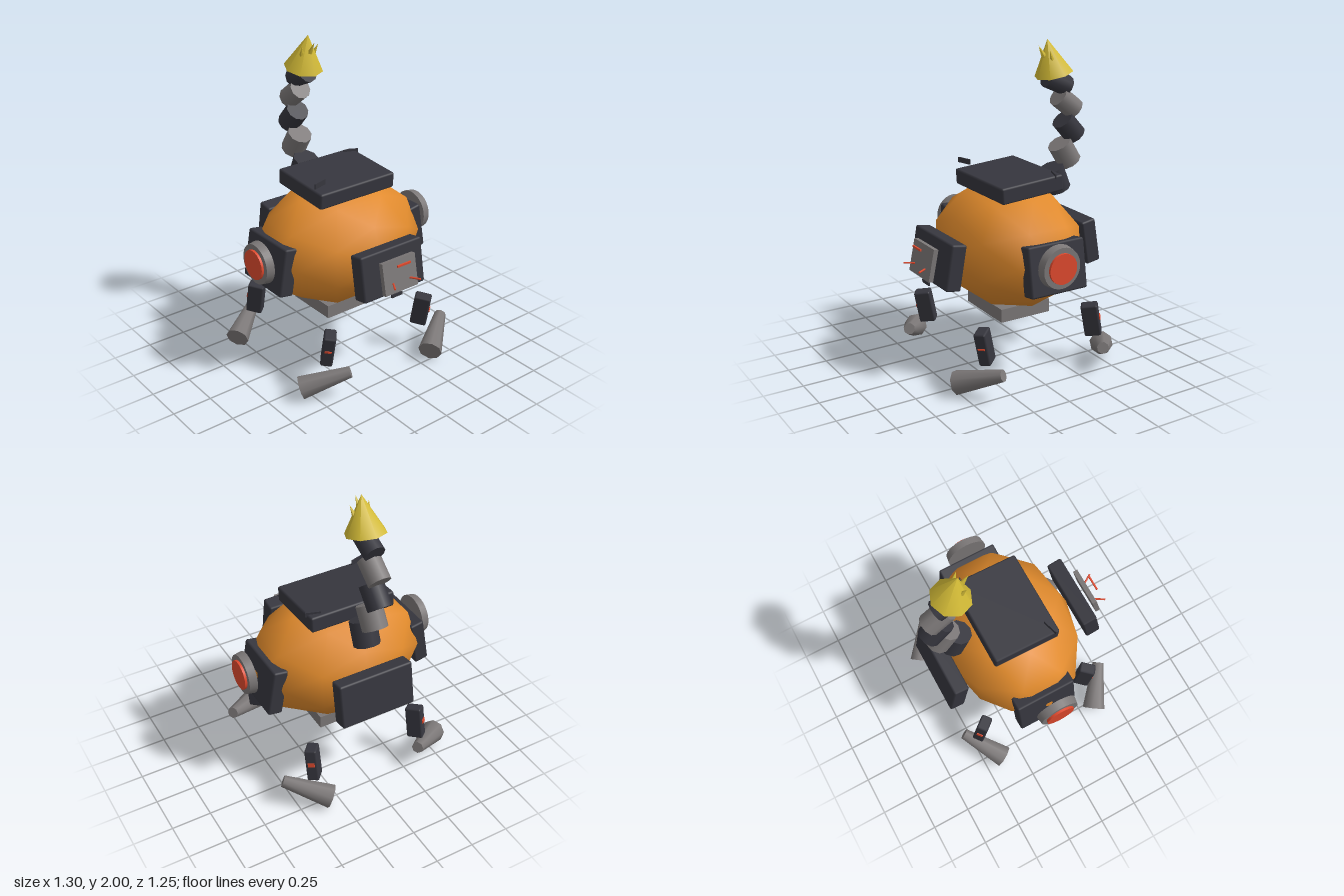
import * as THREE from 'three';
import { RoundedBoxGeometry } from 'three/addons/geometries/RoundedBoxGeometry.js';

const paint = (name, color) => {
  const m = new THREE.MeshStandardMaterial({ color });
  m.name = name;
  return m;
};

export function createModel() {
  const orange = paint('shell orange', 0xe08a2c);
  const dark = paint('dark plating', 0x36363e);
  const grey = paint('metal grey', 0x7c7878);
  const red = paint('signal red', 0xe04a2e);
  const yellow = paint('stinger yellow', 0xd2ba36);

  const root = new THREE.Group();
  root.name = 'scorpionRobot';

  const add = (name, geo, mat, pos, rot = [0, 0, 0], parent = root) => {
    const mesh = new THREE.Mesh(geo, mat);
    mesh.name = name;
    mesh.position.set(...pos);
    mesh.rotation.set(...rot);
    parent.add(mesh);
    return mesh;
  };
  const box = (w, h, d) => new THREE.BoxGeometry(w, h, d);
  const plate = (w, h, d) => new RoundedBoxGeometry(w, h, d, 1, 0.012);

  // Tapered round bar from point a (radius ra) to point b (radius rb)
  const bar = (name, mat, a, b, ra, rb, sides) => {
    const from = new THREE.Vector3(...a), to = new THREE.Vector3(...b);
    const dir = to.clone().sub(from);
    const mesh = add(name, new THREE.CylinderGeometry(rb, ra, dir.length(), sides), mat,
      from.clone().add(to).multiplyScalar(0.5).toArray());
    mesh.quaternion.setFromUnitVectors(new THREE.Vector3(0, 1, 0), dir.normalize());
    return mesh;
  };

  // Body shell
  add('body', new THREE.IcosahedronGeometry(1, 1), orange, [0, 0.765, -0.035]).scale.set(0.555, 0.39, 0.43);

  // Armour plates
  add('roofPlate', plate(0.56, 0.1, 0.43), dark, [0, 1.165, -0.047], [0.07, 0, 0]);
  add('frontPlate', plate(0.465, 0.285, 0.1), dark, [0, 0.75, 0.452], [-0.17, 0, 0]);
  add('backPlate', plate(0.495, 0.285, 0.1), dark, [0, 0.75, -0.505], [0.17, 0, 0]);
  add('bellyPlate', box(0.41, 0.085, 0.35), grey, [0, 0.37, -0.045]);

  // Side plates with round lamps
  for (const s of [-1, 1]) {
    add('sidePlate', plate(0.095, 0.305, 0.39), dark, [s * 0.5, 0.75, -0.048], [0, 0, s * 0.17]);
    const turn = [0, 0, -s * Math.PI / 2];
    add('lampHousing', new THREE.CylinderGeometry(0.125, 0.133, 0.05, 28), grey, [s * 0.61, 0.79, -0.013], turn);
    add('lampLens', new THREE.CylinderGeometry(0.093, 0.093, 0.03, 24), red, [s * 0.635, 0.79, -0.013], turn);
  }

  // Face panel with red markings and feelers
  add('facePanel', box(0.25, 0.2, 0.03), grey, [0, 0.752, 0.548], [-0.2, 0, 0]);
  add('brow', box(0.1, 0.012, 0.01), red, [0, 0.835, 0.59]);
  add('chin', box(0.08, 0.02, 0.01), dark, [0, 0.608, 0.535]);
  for (const s of [-1, 1]) {
    bar('feeler', red, [s * 0.064, 0.72, 0.575], [s * 0.1, 0.72, 0.632], 0.006, 0.006, 6);
  }

  // Thin fins over the roof
  add('leftFin', box(0.095, 0.03, 0.007), dark, [0.245, 1.225, -0.213], [0, -0.32, 0]);
  add('rightFin', box(0.1, 0.033, 0.007), dark, [-0.25, 1.248, 0.12], [0, 0.29, 0]);

  // Tail: segments curl progressively forward
  const tail = [
    [1.122, -0.387, 0.39, 0.082, 0.155],
    [1.28, -0.46, 0.56, 0.078, 0.15],
    [1.438, -0.49, 0.73, 0.073, 0.15],
    [1.597, -0.468, 0.92, 0.069, 0.155],
    [1.735, -0.397, 1.15, 0.064, 0.165],
  ];
  tail.forEach(([y, z, tilt, r, len], i) => {
    add('tailSegment', new THREE.CylinderGeometry(r, r, len, 10), i % 2 ? grey : dark, [0, y, z], [tilt, 0, 0]);
  });

  // Stinger with small barbs
  bar('stinger', yellow, [0, 1.785, -0.372], [0, 2, -0.32], 0.122, 0, 8);
  bar('barb', yellow, [0, 1.83, -0.345], [0, 1.965, -0.257], 0.032, 0, 6);
  for (const s of [-1, 1]) {
    bar('barb', yellow, [s * 0.03, 1.83, -0.35], [s * 0.06, 1.94, -0.3], 0.028, 0, 6);
  }

  // Legs: upper block with a red marker on its outer face, and a flared foot
  for (const s of [-1, 1]) {
    for (const f of [-1, 1]) {
      const where = f > 0 ? 'front' : 'back';
      const leg = new THREE.Group();
      leg.name = where + 'Leg';
      leg.position.set(s * 0.372, 0.29, f > 0 ? 0.35 : -0.427);
      leg.rotation.set(0.2, Math.atan2(s * 0.64, f * 0.77), 0);
      root.add(leg);
      add('upperLeg', plate(0.075, 0.215, 0.105), dark, [0, 0, 0], [0, 0, 0], leg);
      add('legMarker', box(0.042, f > 0 ? 0.012 : 0.026, 0.008), red, [0, 0.01, 0.054], [0, 0, 0], leg);

      const zOff = f > 0 ? 0 : -0.045;
      const wide = s < 0 ? [-0.562, 0.073, f * 0.33 + zOff] : [0.315, 0.073, f * 0.51 + zOff];
      const slim = s < 0 ? [-0.32, 0.175, f * 0.498 + zOff] : [0.56, 0.175, f * 0.336 + zOff];
      bar(where + 'Foot', grey, wide, slim, 0.075, 0.037, 8);
    }
  }

  return root;
}
